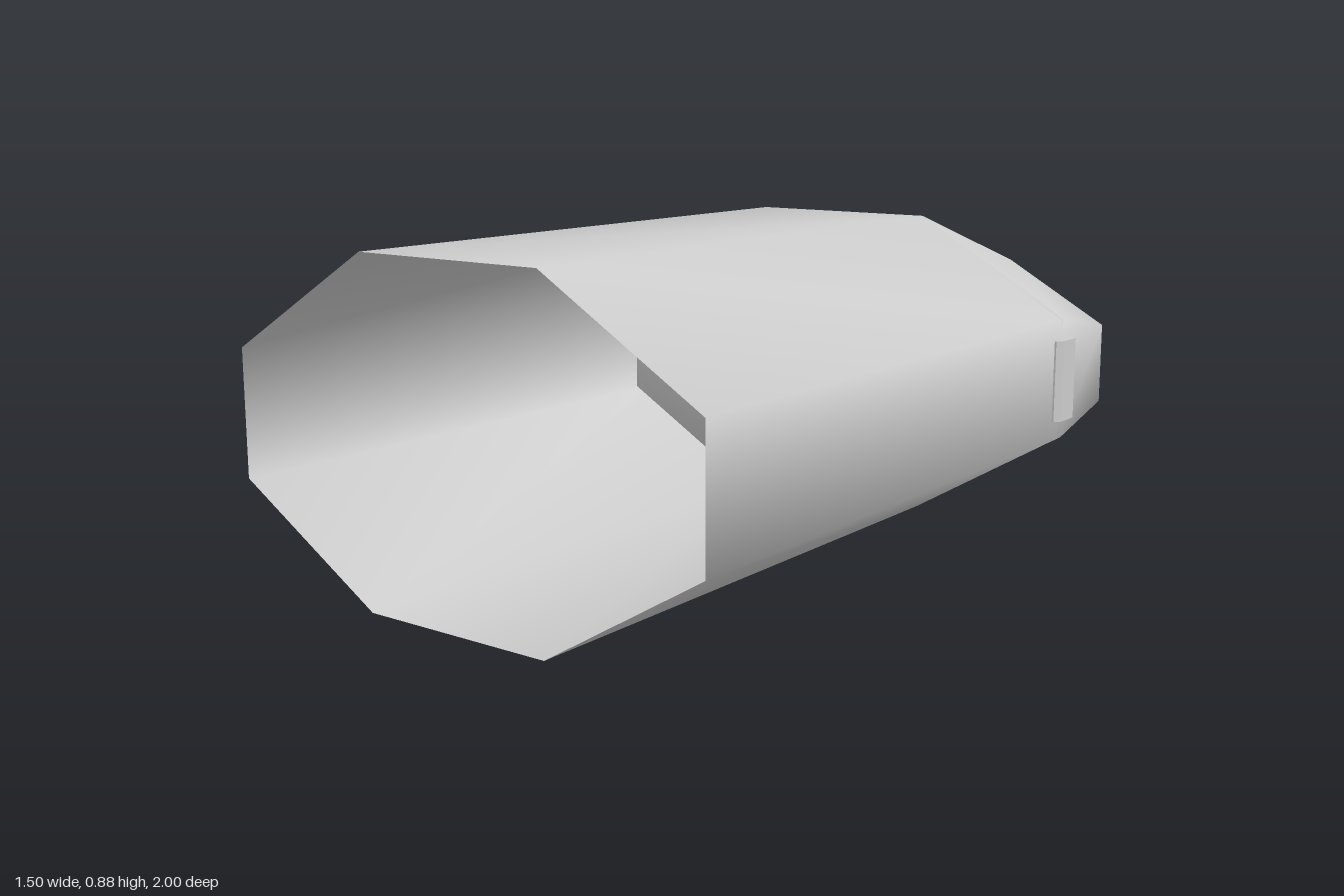
import * as THREE from 'three';

const MID = 0.44; // height of the long axis
const mat = new THREE.MeshStandardMaterial({ color: 0xcccccc, side: THREE.DoubleSide });

// Smooth skin through closed rings of points, with optional end caps
function loft(rings, capStart, capEnd) {
  const n = rings[0].length, idx = [];
  for (let i = 0; i < rings.length - 1; i++) {
    for (let j = 0; j < n; j++) {
      const a = i * n + j, b = i * n + (j + 1) % n;
      idx.push(a, a + n, b, b, a + n, b + n);
    }
  }
  const last = (rings.length - 1) * n;
  for (let j = 1; j < n - 1; j++) {
    if (capStart) idx.push(0, j, j + 1);
    if (capEnd) idx.push(last, last + j + 1, last + j);
  }
  const geo = new THREE.BufferGeometry();
  geo.setAttribute('position', new THREE.Float32BufferAttribute(rings.flat(2), 3));
  geo.setIndex(idx);
  geo.computeVertexNormals();
  return geo;
}

// Long octagon, counter-clockwise seen from the front
function octagon(topX, sideX, topY, sideY, z) {
  return [
    [sideX, -sideY], [sideX, sideY], [topX, topY], [-topX, topY],
    [-sideX, sideY], [-sideX, -sideY], [-topX, -topY], [topX, -topY],
  ].map(([x, y]) => [x, MID + y, z]);
}

function add(parent, geo, name) {
  const mesh = new THREE.Mesh(geo, mat);
  mesh.name = name;
  parent.add(mesh);
  return mesh;
}

export function createModel() {
  const model = new THREE.Group();
  model.name = 'engineBlock';

  // Hull: open front, rear rim, recess and rear plate
  add(model, loft([
    octagon(0.28, 0.73, 0.44, 0.17, 1),
    octagon(0.28, 0.73, 0.44, 0.17, -0.67),
    octagon(0.27, 0.62, 0.342, 0.135, -0.67),
    octagon(0.27, 0.62, 0.342, 0.135, -0.44),
  ], false, true), 'hull');

  // Four tapered nozzles on the plate
  const nozzleGeo = new THREE.CylinderGeometry(0.095, 0.15, 0.16, 8, 1, true);
  nozzleGeo.rotateX(-Math.PI / 2);
  for (const [x, y] of [[-0.37, 0.45], [0.37, 0.45], [0, 0.605], [0, 0.28]]) {
    add(model, nozzleGeo, 'nozzle').position.set(x, y, -0.5);
  }

  // Rear guard: a thick C-shaped band tapering to the back
  // Each station: x, y of outer front, inner front, inner back, outer back
  const upper = [
    [[0.73, 0.17], [0.65, 0.14], [0.63, 0.085], [0.71, 0.115]],
    [[0.275, 0.435], [0.265, 0.37], [0.4, 0.225], [0.405, 0.29]],
  ];
  const station = (s, sign) => s.map(([x, y], i) => [x, sign * y, i < 2 ? -0.69 : -1]);
  const guardGeo = loft([
    station(upper[1], -1), station(upper[0], -1),
    station(upper[0], 1), station(upper[1], 1),
  ], true, true);

  // Side clip with chamfered outer corners, drawn in x and -z
  const clipShape = new THREE.Shape([
    [0.7, 0.63], [0.735, 0.63], [0.75, 0.65], [0.75, 0.725], [0.735, 0.745], [0.7, 0.745],
  ].map(([x, y]) => new THREE.Vector2(x, y)));
  const clipGeo = new THREE.ExtrudeGeometry(clipShape, { depth: 0.23, bevelEnabled: false });
  clipGeo.rotateX(-Math.PI / 2);
  clipGeo.translate(0, -0.115, 0);

  // Left half, and the same turned half round for the right
  for (const side of ['left', 'right']) {
    const half = new THREE.Group();
    half.name = side + 'Side';
    half.position.y = MID;
    half.rotation.z = side === 'left' ? 0 : Math.PI;
    add(half, guardGeo, side + 'RearGuard');
    add(half, clipGeo, side + 'Clip');
    model.add(half);
  }
  return model;
}
